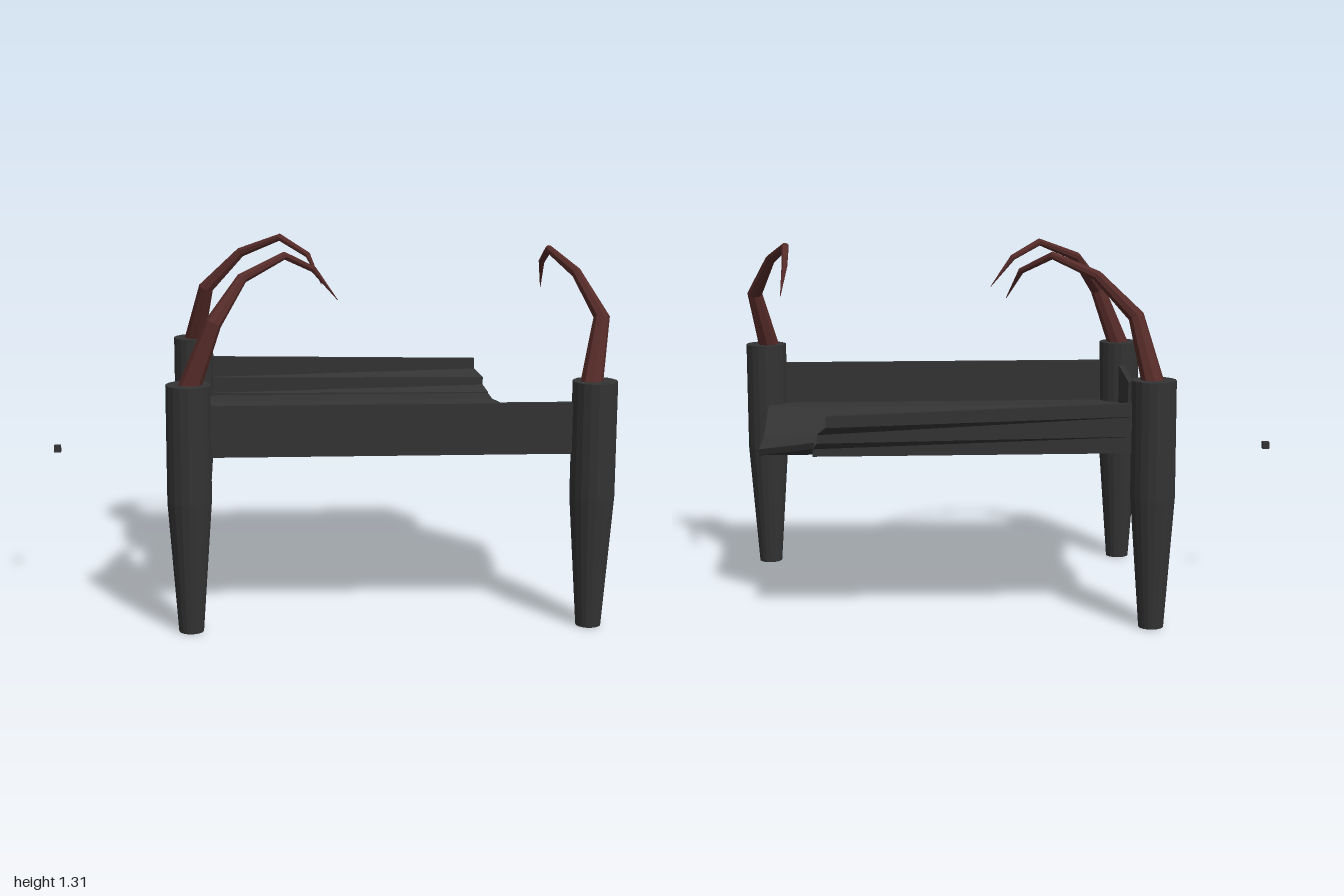
import * as THREE from 'three';

const dark = new THREE.MeshStandardMaterial({ color: 0x333333, flatShading: true });
const red = new THREE.MeshStandardMaterial({ color: 0x552b28, flatShading: true });

// Bent sheet: a box with n strips whose corners are placed by a rule.
// place(end 0|1 along x, side 0|1 across the thickness, k along the profile) -> [x, y, z]
function sheet(n, place) {
  const g = new THREE.BoxGeometry(1, 1, 1, 1, 1, n);
  const p = g.attributes.position;
  for (let i = 0; i < p.count; i++) {
    const k = Math.round((p.getZ(i) + 0.5) * n);
    p.setXYZ(i, ...place(p.getX(i) > 0 ? 1 : 0, p.getY(i) > 0 ? 1 : 0, k));
  }
  g.computeVertexNormals();
  return g;
}

// Straight-segment path for the bent, tapering spikes
class Polyline extends THREE.Curve {
  constructor(points) {
    super();
    this.points = points;
  }
  getPointAt(u) {
    const f = u * (this.points.length - 1);
    const i = Math.min(Math.floor(f + 1e-6), this.points.length - 2);
    return this.points[i].clone().lerp(this.points[i + 1], f - i);
  }
  getPoint(u) {
    return this.getPointAt(u);
  }
  getTangentAt(u) {
    const last = this.points.length - 1;
    const i = Math.round(u * last);
    const a = this.points[Math.max(i - 1, 0)];
    const b = this.points[Math.min(i + 1, last)];
    return b.clone().sub(a).normalize();
  }
}

function spikeGeometry(coords) {
  const radii = [0.04, 0.029, 0.019, 0.014, 0.011, 0.001];
  const pts = coords.map(c => new THREE.Vector3(...c));
  const sides = 8;
  const g = new THREE.TubeGeometry(new Polyline(pts), pts.length - 1, 1, sides, false);
  const p = g.attributes.position;
  const v = new THREE.Vector3();
  for (let i = 0; i < p.count; i++) {
    const ring = Math.floor(i / (sides + 1));
    v.fromBufferAttribute(p, i).sub(pts[ring]).multiplyScalar(radii[ring]).add(pts[ring]);
    p.setXYZ(i, v.x, v.y, v.z);
  }
  g.computeVertexNormals();
  return g;
}

export function createModel() {
  const group = new THREE.Group();
  const add = (name, geometry, material = dark) => {
    const mesh = new THREE.Mesh(geometry, material);
    mesh.name = name;
    group.add(mesh);
    return mesh;
  };

  // Three legs: straight above, tapered below
  const corners = { backRight: [-0.488, -0.507], frontRight: [-0.488, 0.507], frontLeft: [0.917, 0.507] };
  for (const [name, [x, z]] of Object.entries(corners)) {
    const profile = [[0, 0], [0.044, 0], [0.078, 0.47], [0.078, 0.88], [0, 0.88]];
    const leg = add(name + 'Leg', new THREE.LatheGeometry(profile.map(q => new THREE.Vector2(...q)), 18));
    leg.position.set(x, 0, z);
  }

  // Curved spikes on top of the legs
  const spikes = {
    backRight: [[-0.487, 0.86, -0.505], [-0.435, 1.09, -0.415], [-0.3, 1.23, -0.388],
      [-0.15, 1.295, -0.32], [-0.045, 1.235, -0.245], [0.005, 1.13, -0.175]],
    frontRight: [[-0.487, 0.86, 0.508], [-0.4, 1.09, 0.51], [-0.3, 1.23, 0.4],
      [-0.15, 1.295, 0.29], [-0.045, 1.24, 0.245], [0.04, 1.13, 0.236]],
    frontLeft: [[0.903, 0.86, 0.508], [0.95, 1.09, 0.42], [0.88, 1.23, 0.3],
      [0.81, 1.295, 0.13], [0.806, 1.235, 0.01], [0.818, 1.13, -0.072]],
  };
  for (const [name, pts] of Object.entries(spikes)) add(name + 'Spike', spikeGeometry(pts), red);

  // Trough-shaped platform with one corner cut away: [z, bottom y, +x end]
  const floor = [[-0.51, 0.624, 0.69], [-0.37, 0.624, 0.69], [-0.124, 0.555, 0.905],
    [0.14, 0.555, 0.905], [0.38, 0.624, 0.905], [0.515, 0.624, 0.905]];
  add('platform', sheet(5, (end, side, k) => {
    const [z, y, x] = floor[k];
    return [end ? x : -0.478, y + side * 0.022, z];
  }));

  // Front wall
  const wall = add('frontWall', new THREE.BoxGeometry(1.36, 0.18, 0.02));
  wall.position.set(0.22, 0.715, 0.505);

  // Back wall: flat at the leg, twisting outwards into steps at the broken end
  const steps = [[-0.51, 0.625], [-0.51, 0.65], [-0.54, 0.675], [-0.54, 0.705], [-0.575, 0.735], [-0.575, 0.775]];
  add('backWall', sheet(5, (end, side, k) => {
    const [z, y] = steps[k];
    if (!end) return [-0.47, 0.625 + (y - 0.625) * 1.18, side ? -0.515 : -0.495];
    return [0.69 + Math.min(0, z + 0.52) * 0.9, y, side ? z : z + 0.023];
  }));

  // Two side panels with a gap between them
  const panels = {
    frontSidePanel: [[0.507, 0.555], [0.14, 0.555], [0.117, 0.775], [0.507, 0.8]],
    backSidePanel: [[-0.507, 0.555], [-0.124, 0.555], [-0.102, 0.775], [-0.507, 0.8]],
  };
  for (const [name, outline] of Object.entries(panels)) {
    const shape = new THREE.Shape(outline.map(([z, y]) => new THREE.Vector2(-z, y)));
    const panel = add(name, new THREE.ExtrudeGeometry(shape, { depth: 0.022, bevelEnabled: false }));
    panel.rotation.y = Math.PI / 2;
    panel.position.x = -0.5;
  }

  // Small loose block beside the gap
  const block = add('looseBlock', new THREE.BoxGeometry(0.025, 0.025, 0.025));
  block.position.set(-0.9875, 0.548, 0.005);

  return group;
}
